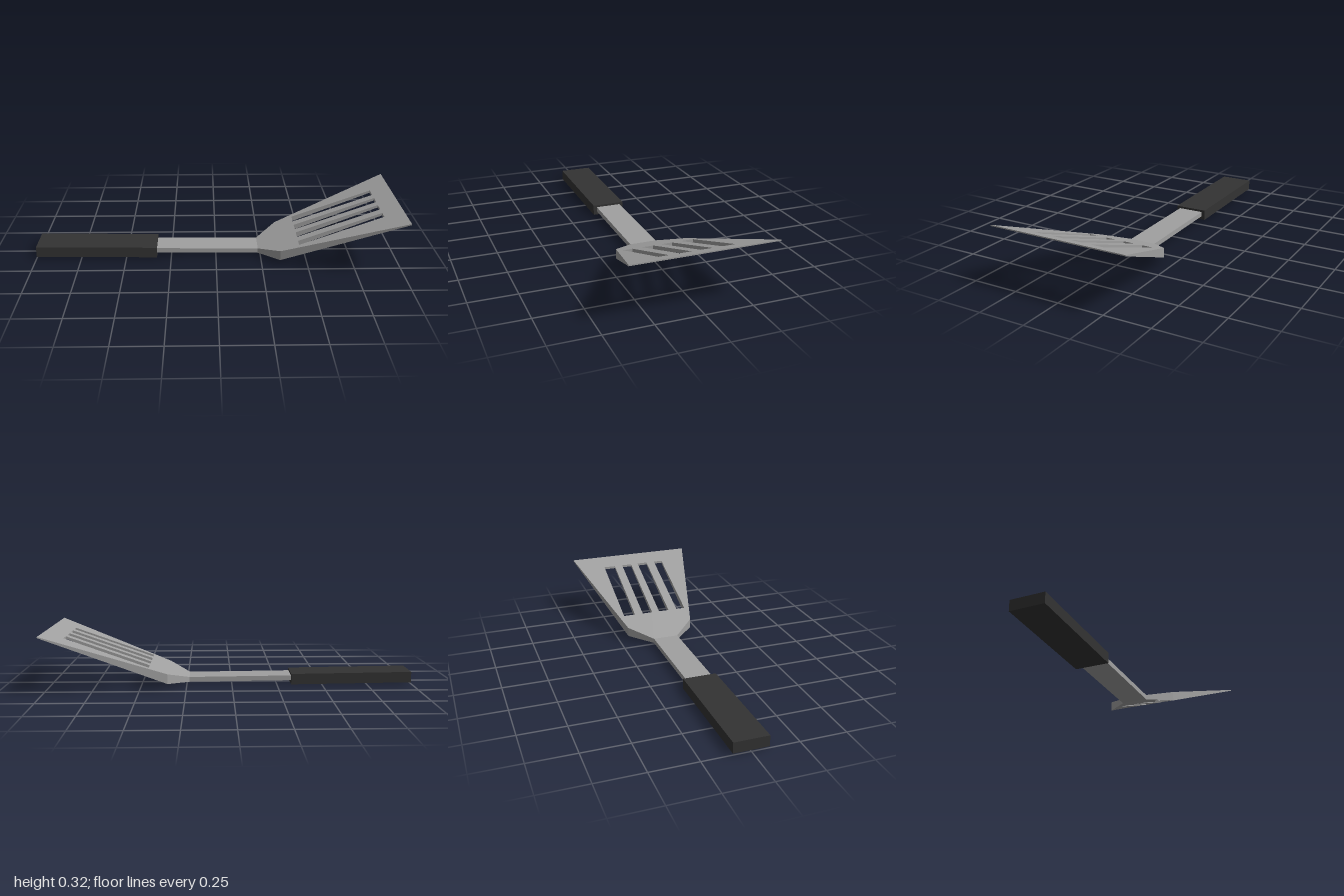
import * as THREE from 'three';
import { toCreasedNormals } from 'three/addons/utils/BufferGeometryUtils.js';

const metal = new THREE.MeshStandardMaterial({ color: 0xa0a0a0 });
metal.name = 'brushed metal';
const grip = new THREE.MeshStandardMaterial({ color: 0x333333 });
grip.name = 'dark grip';

// Bar between x0 and x1 whose bottom height drops from y0 to y1
function slopedBar(name, material, x0, x1, y0, y1, thickness, width) {
  const geometry = new THREE.BoxGeometry(x1 - x0, thickness, width);
  geometry.translate((x0 + x1) / 2, thickness / 2, 0);
  const p = geometry.attributes.position;
  for (let i = 0; i < p.count; i++) {
    const t = (p.getX(i) - x0) / (x1 - x0);
    p.setY(i, p.getY(i) + y0 + (y1 - y0) * t);
  }
  geometry.computeVertexNormals();
  const mesh = new THREE.Mesh(geometry, material);
  mesh.name = name;
  return mesh;
}

// Slotted blade: a flared outline lifted into a tapering wedge
function createBlade() {
  const outline = [[0.235, -0.073], [0.35, -0.198], [1, -0.375], [1, 0.375], [0.35, 0.198], [0.235, 0.073]];
  const shape = new THREE.Shape(outline.map(([x, y]) => new THREE.Vector2(x, y)));
  const slots = [[0.143, 0.195], [0.03, 0.091], [-0.075, -0.015], [-0.194, -0.125]];
  for (const [z0, z1] of slots) {
    shape.holes.push(new THREE.Path([
      new THREE.Vector2(0.45, -z1), new THREE.Vector2(0.45, -z0),
      new THREE.Vector2(0.9, -z0), new THREE.Vector2(0.9, -z1),
    ]));
  }
  const geometry = new THREE.ExtrudeGeometry(shape, { depth: 1, bevelEnabled: false });
  geometry.rotateX(-Math.PI / 2);

  // Flat sloping top; the underside sags at the shoulders
  const top = (x) => 0.042 + (x - 0.235) * 0.361;
  const under = [[0.235, 0.015], [0.35, 0.03], [0.45, 0.09], [0.9, 0.268], [1, 0.312]];
  const p = geometry.attributes.position;
  for (let i = 0; i < p.count; i++) {
    const x = p.getX(i);
    const bottom = under.find(([ux]) => Math.abs(ux - x) < 0.01)[1];
    p.setY(i, p.getY(i) > 0.5 ? top(x) : bottom);
  }
  const mesh = new THREE.Mesh(toCreasedNormals(geometry, Math.PI / 7), metal);
  mesh.name = 'slottedBlade';
  return mesh;
}

export function createModel() {
  const group = new THREE.Group();
  group.name = 'spatula';
  group.add(
    slopedBar('handle', grip, -1, -0.33, 0.009, 0.001, 0.059, 0.186),
    slopedBar('shaft', metal, -0.34, 0.235, 0.021, 0.015, 0.027, 0.146),
    createBlade(),
  );
  return group;
}
